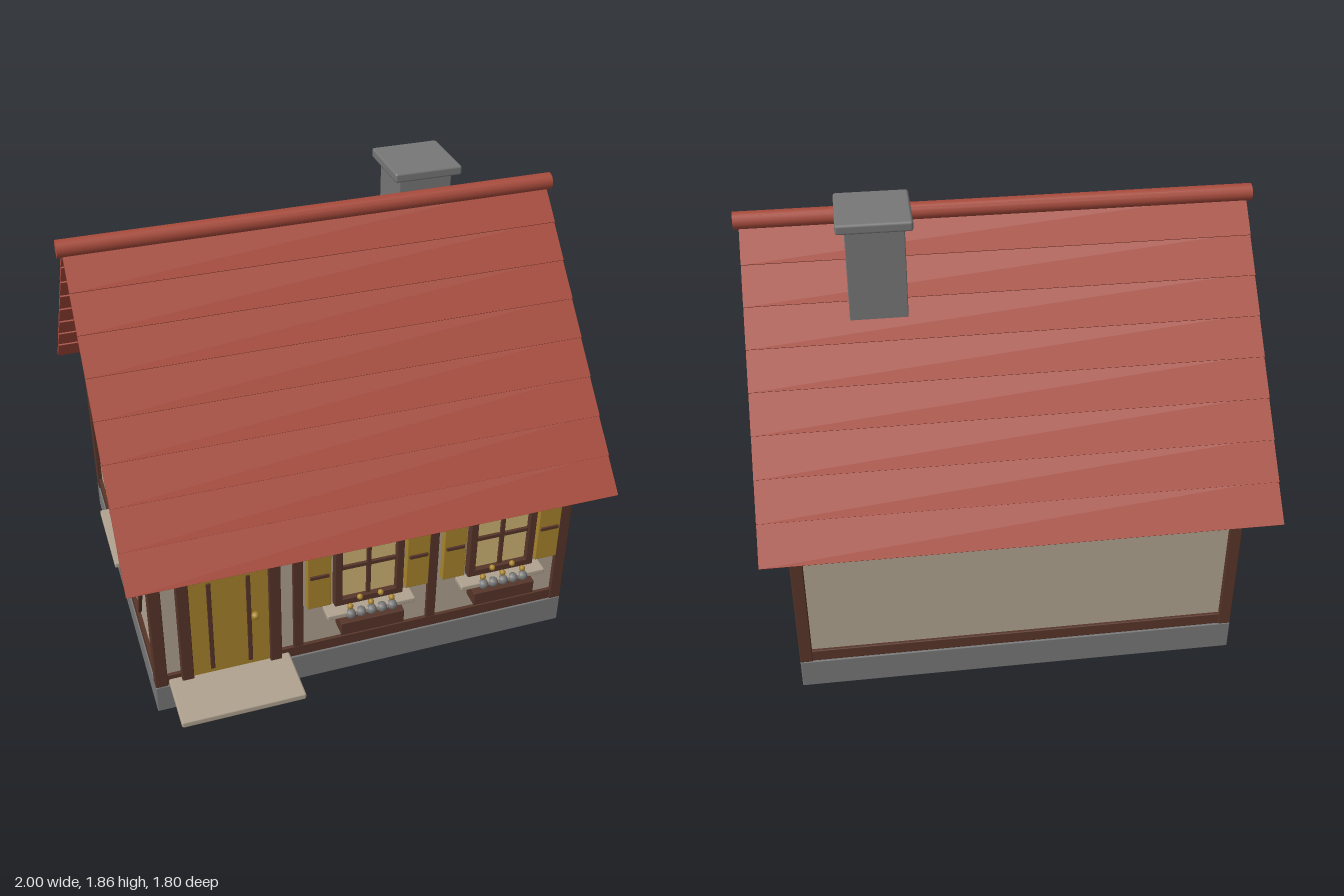
import * as THREE from 'three';
import { RoundedBoxGeometry } from 'three/addons/geometries/RoundedBoxGeometry.js';

const mat = (name, color) => Object.assign(new THREE.MeshStandardMaterial({ color }), { name });

export function createModel() {
  const M = {
    wall: mat('plaster', 0xb0a290),
    stone: mat('stone', 0x777777),
    roof: mat('roof red', 0xa84b3c),
    wood: mat('dark timber', 0x573529),
    paint: mat('ochre paint', 0xa8842c),
    glass: mat('warm glass', 0xcfb674),
  };
  const CZ = -0.035; // middle of the house body in z
  const HX = 0.865, HZ = 0.685; // wall half sizes
  const house = new THREE.Group();
  house.name = 'house';

  const add = (parent, name, geo, material, x, y, z) => {
    const m = new THREE.Mesh(geo, material);
    m.name = name;
    m.position.set(x, y, z);
    parent.add(m);
    return m;
  };
  // Box given by its ranges, with softened edges
  const box = (parent, name, material, [x0, x1], [y0, y1], [z0, z1], r = 0.004) =>
    add(parent, name, new RoundedBoxGeometry(x1 - x0, y1 - y0, z1 - z0, 1, r), material,
      (x0 + x1) / 2, (y0 + y1) / 2, (z0 + z1) / 2);
  const group = (name, x, y, z, ry = 0) => {
    const g = new THREE.Group();
    g.name = name;
    g.position.set(x, y, z);
    g.rotation.y = ry;
    house.add(g);
    return g;
  };

  // Foundation, walls and gables
  box(house, 'foundation', M.stone, [-0.885, 0.885], [0, 0.13], [CZ - 0.702, CZ + 0.702]);
  add(house, 'walls', new THREE.BoxGeometry(HX * 2, 0.79, HZ * 2), M.wall, 0, 0.525, CZ);
  const tri = new THREE.Shape([[-0.685, 0.92], [0.685, 0.92], [0, 1.725]].map(p => new THREE.Vector2(...p)));
  const gable = add(house, 'gables',
    new THREE.ExtrudeGeometry(tri, { depth: HX * 2, bevelEnabled: false }), M.wall, -HX, 0, CZ);
  gable.rotation.y = Math.PI / 2;

  // Timber frame
  const PX = 0.885, PZ = 0.702;
  for (const sx of [-1, 1]) for (const sz of [-1, 1]) {
    const x = sx * (PX - 0.025), z = CZ + sz * (PZ - 0.025);
    box(house, 'cornerPost', M.wood, [x - 0.025, x + 0.025], [0.13, 0.925], [z - 0.025, z + 0.025]);
  }
  for (const [y0, y1] of [[0.13, 0.183], [0.872, 0.925]]) {
    for (const s of [-1, 1]) {
      const z = CZ + s * (PZ - 0.027), x = s * (PX - 0.027);
      box(house, 'longBeam', M.wood, [-0.84, 0.84], [y0, y1], [z - 0.022, z + 0.022]);
      box(house, 'endBeam', M.wood, [x - 0.022, x + 0.022], [y0, y1], [CZ - 0.66, CZ + 0.66]);
    }
  }
  for (const x of [-0.29, 0.283])
    box(house, 'frontPost', M.wood, [x - 0.021, x + 0.021], [0.18, 0.875], [0.63, 0.662]);
  for (const sx of [-1, 1]) for (const sz of [-1, 1]) {
    const brace = add(house, 'brace', new RoundedBoxGeometry(0.026, 0.715, 0.028, 1, 0.004), M.wood,
      sx * HX, 0.532, CZ + sz * 0.48);
    brace.rotation.set(sz * Math.atan2(0.31, 0.635), Math.PI / 2, 0, 'XYZ');
  }

  // Roof: two slopes of eight lapped courses
  const angle = Math.atan2(0.96, 0.855), rows = 8, step = 1.287 / rows;
  for (const s of [1, -1]) {
    const side = group(s > 0 ? 'frontRoof' : 'backRoof', 0, 1.745, CZ, s > 0 ? 0 : Math.PI);
    const slope = new THREE.Group();
    slope.rotation.x = angle;
    side.add(slope);
    for (let i = 0; i < rows; i++) {
      const c = add(slope, 'roofCourse', new THREE.BoxGeometry(1.96, 0.016, step + 0.012), M.roof,
        0, 0.002, (i + 0.5) * step);
      c.rotation.x = -0.04;
    }
  }
  const ridge = add(house, 'ridge', new THREE.CylinderGeometry(0.035, 0.035, 2, 14), M.roof, 0, 1.755, CZ);
  ridge.rotation.z = Math.PI / 2;

  // Chimney
  box(house, 'chimney', M.stone, [0.37, 0.59], [1.35, 1.825], [-0.31, -0.09]);
  box(house, 'chimneyCap', M.stone, [0.34, 0.622], [1.82, 1.86], [-0.342, -0.058], 0.01);

  // Window with shutters and sill, facing local +z
  const addWindow = (name, x, z, ry) => {
    const g = group(name, x, 0.55, z, ry);
    const W = 0.145, H = 0.174, t = 0.032;
    box(g, 'glass', M.glass, [-W + 0.01, W - 0.01], [-H + 0.01, H - 0.01], [0, 0.015], 0.001);
    for (const s of [-1, 1]) {
      const fx = s * (W - t / 2), fy = s * (H - t / 2), hx = s * 0.208;
      box(g, 'frameSide', M.wood, [fx - t / 2, fx + t / 2], [-H, H], [0, 0.036]);
      box(g, 'frameRail', M.wood, [-W, W], [fy - t / 2, fy + t / 2], [0, 0.036]);
      box(g, 'shutter', M.paint, [hx - 0.049, hx + 0.049], [-0.163, 0.163], [0, 0.03]);
      box(g, 'shutterBar', M.wood, [hx - 0.039, hx + 0.039], [-0.008, 0.008], [0.028, 0.037], 0.002);
    }
    box(g, 'mullion', M.wood, [-0.009, 0.009], [-H + t, H - t], [0.01, 0.026], 0.002);
    box(g, 'transom', M.wood, [-W + t, W - t], [0.002, 0.02], [0.01, 0.026], 0.002);
    box(g, 'sill', M.wall, [-0.187, 0.187], [-0.208, -0.183], [0, 0.072], 0.006);
    return g;
  };
  addWindow('rightWindow', -HX, CZ, -Math.PI / 2);
  addWindow('leftWindow', HX, CZ, Math.PI / 2);
  for (const x of [0, 0.575]) {
    const g = addWindow('frontWindow', x, CZ + HZ, 0);
    // Planter with flowers
    box(g, 'flowerBox', M.wood, [-0.134, 0.134], [-0.285, -0.222], [0.01, 0.088]);
    for (let i = -2; i <= 2; i++) {
      add(g, 'plant', new THREE.SphereGeometry(0.022, 10, 8), M.stone, i * 0.044, -0.197, 0.066);
      add(g, 'flower', new THREE.SphereGeometry(0.013, 8, 6), M.paint,
        i * 0.044, i % 2 ? -0.135 : -0.165, i % 2 ? 0.048 : 0.058);
    }
  }

  // Door, facing local +z
  const door = group('door', -0.573, 0, CZ + HZ);
  box(door, 'doorPanel', M.paint, [-0.165, 0.165], [0.155, 0.77], [0, 0.022]);
  for (const s of [-1, 1]) {
    const x = s * 0.182;
    box(door, 'doorPost', M.wood, [x - 0.024, x + 0.024], [0.155, 0.755], [0, 0.036]);
    box(door, 'doorGroove', M.wood, [s * 0.078 - 0.009, s * 0.078 + 0.009], [0.18, 0.63], [0.02, 0.027], 0.002);
  }
  const arch = add(door, 'doorArch', new THREE.SphereGeometry(1, 20, 12), M.paint, 0, 0.77, 0.012);
  arch.scale.set(0.16, 0.055, 0.045);
  add(door, 'doorKnob', new THREE.SphereGeometry(0.017, 12, 8), M.paint, 0.1, 0.425, 0.036);
  box(house, 'doorstep', M.wall, [-0.83, -0.33], [0.13, 0.16], [0.64, 0.9], 0.008);

  return house;
}
